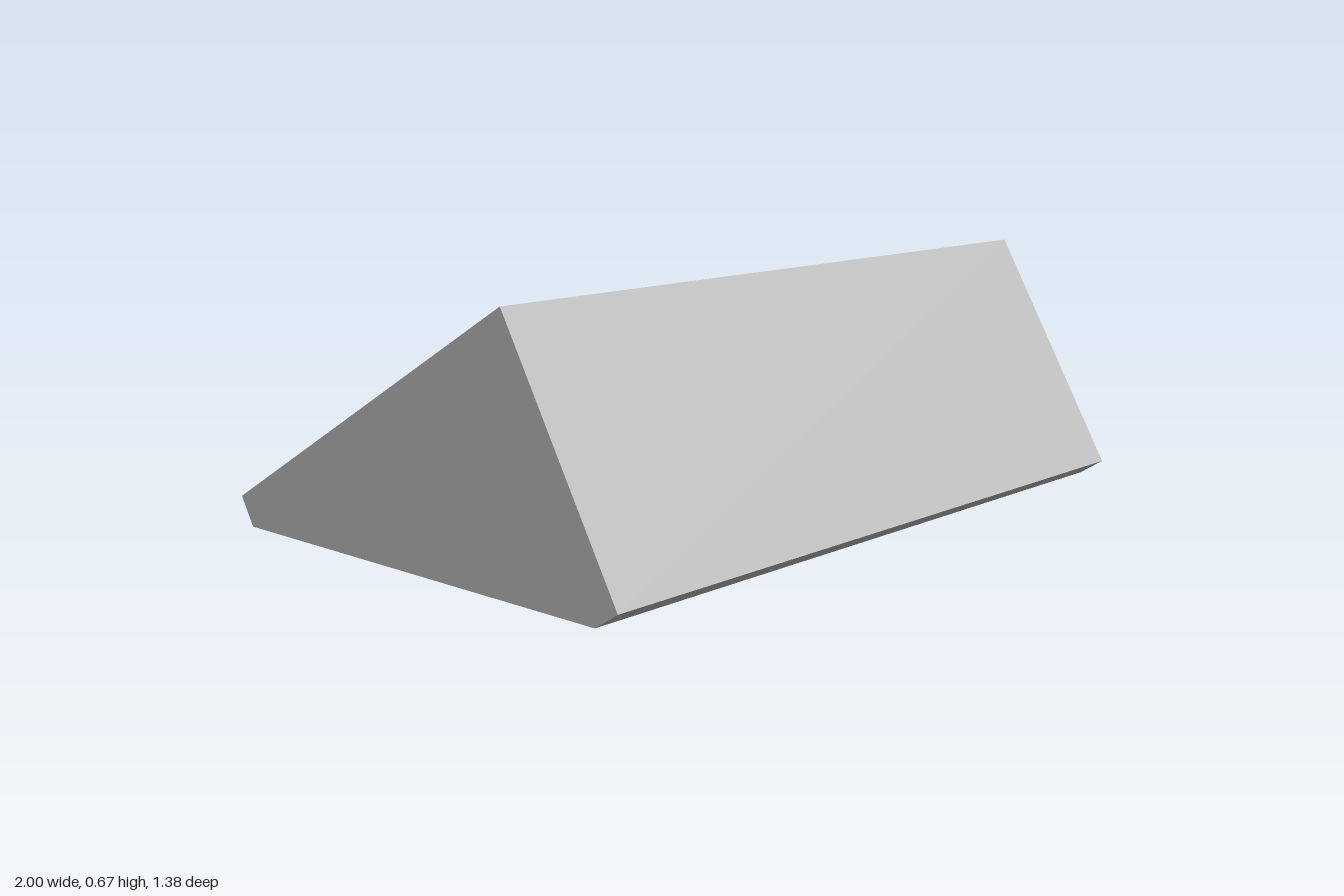
import * as THREE from 'three';

// Lofts four-cornered sections into one faceted surface, capped at both ends.
// Each section: [half width, front z, front y, back z, back y]
function loft(sections) {
  const loops = sections.map(([w, zf, yf, zb, yb]) => [
    new THREE.Vector3(w, yf, zf), new THREE.Vector3(w, yb, zb),
    new THREE.Vector3(-w, yb, zb), new THREE.Vector3(-w, yf, zf),
  ]);
  const pos = [];
  const tri = (a, b, c) => {
    if (new THREE.Triangle(a, b, c).getArea() < 1e-7) return;
    for (const p of [a, b, c]) pos.push(p.x, p.y, p.z);
  };
  const quad = (a, b, c, d) => { tri(a, b, c); tri(a, c, d); };
  for (let s = 0; s < loops.length - 1; s++) {
    const lo = loops[s], hi = loops[s + 1];
    for (let i = 0; i < 4; i++) {
      const j = (i + 1) % 4;
      quad(lo[i], lo[j], hi[j], hi[i]);
    }
  }
  const first = loops[0], last = loops[loops.length - 1];
  quad(first[3], first[2], first[1], first[0]);
  quad(...last);
  const geo = new THREE.BufferGeometry();
  geo.setAttribute('position', new THREE.Float32BufferAttribute(pos, 3));
  geo.computeVertexNormals();
  return geo;
}

export function createModel() {
  const group = new THREE.Group();
  group.name = 'slopedEnclosure';
  const grey = new THREE.MeshStandardMaterial({ color: 0xc0c0c0 });
  grey.name = 'light grey';

  // Wedge case: from the underside recess, around the outside, into the tray
  const shell = new THREE.Mesh(loft([
    [0.955, 0.58, 0.045, -0.605, 0.045],  // recess panel
    [0.955, 0.58, 0, -0.605, 0],          // recess mouth
    [1, 0.62, 0, -0.645, 0],              // bottom edge
    [1, 0.69, 0.045, -0.69, 0.075],       // lower front and back edges
    [1, 0.335, 0.667, -0.69, 0.075],      // sloped rim, outside
    [0.955, 0.3, 0.647, -0.61, 0.121],    // sloped rim, inside
    [0.955, 0.617, 0.092, -0.593, 0.092], // tray floor
  ]), grey);
  shell.name = 'caseShell';
  group.add(shell);

  // Small mounting posts in the corners of the underside recess
  const postGeo = new THREE.BoxGeometry(0.05, 0.03, 0.05);
  for (const x of [-0.93, 0.93]) {
    for (const z of [-0.58, 0.555]) {
      const post = new THREE.Mesh(postGeo, grey);
      post.name = 'cornerPost';
      post.position.set(x, 0.033, z);
      group.add(post);
    }
  }
  return group;
}
